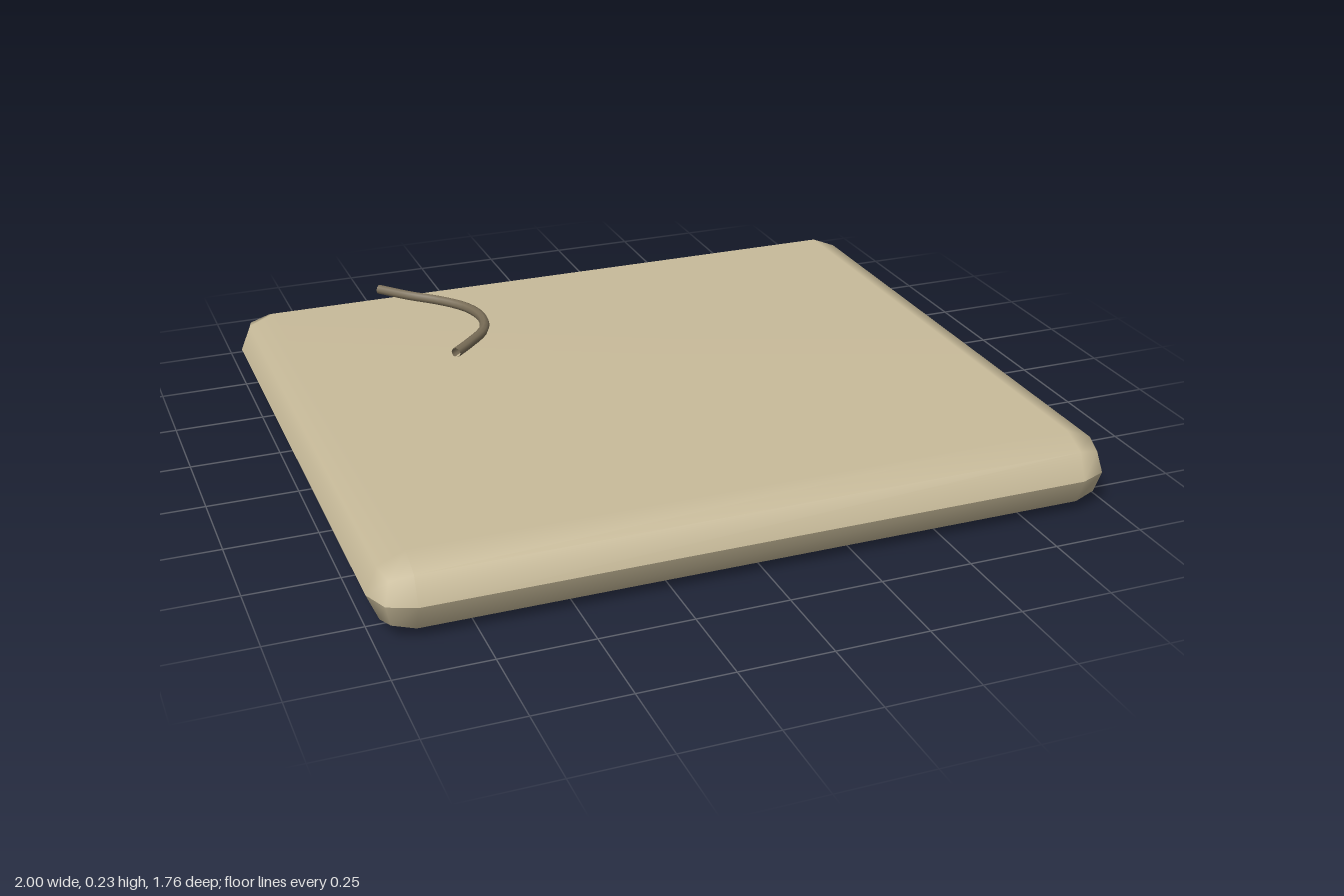
import * as THREE from 'three';
import { mergeVertices } from 'three/addons/utils/BufferGeometryUtils.js';
import { RoundedBoxGeometry } from 'three/addons/geometries/RoundedBoxGeometry.js';

const HEIGHT = 0.204;

// One half of the pillow-edged slab, smooth within itself so the rim stays a sharp seam
function halfSlab(side) {
  const box = new RoundedBoxGeometry(2, HEIGHT, 1.76, 1, HEIGHT / 2);
  const source = box.index ? box.toNonIndexed() : box;
  const p = source.attributes.position;
  const kept = [];
  for (let i = 0; i < p.count; i += 3) {
    const middle = (p.getY(i) + p.getY(i + 1) + p.getY(i + 2)) / 3;
    if (middle * side < 1e-4) continue;
    for (let k = i; k < i + 3; k++) kept.push(p.getX(k), p.getY(k), p.getZ(k));
  }
  const soup = new THREE.BufferGeometry();
  soup.setAttribute('position', new THREE.Float32BufferAttribute(kept, 3));
  const half = mergeVertices(soup, 1e-4);
  half.computeVertexNormals();
  return half.translate(0, HEIGHT / 2, 0);
}

export function createModel() {
  const group = new THREE.Group();

  // Slab: upper and lower halves meeting at the rim
  const slab = new THREE.Group();
  slab.name = 'slab';
  const slabMaterial = new THREE.MeshStandardMaterial({ color: 0xc8bb9a });
  for (const [name, side] of [['slabTop', 1], ['slabBottom', -1]]) {
    const mesh = new THREE.Mesh(halfSlab(side), slabMaterial);
    mesh.name = name;
    slab.add(mesh);
  }
  group.add(slab);

  // Curved strand lying on the top face
  const path = new THREE.CatmullRomCurve3([
    [-0.558, -0.826], [-0.487, -0.744], [-0.4, -0.66], [-0.345, -0.58],
    [-0.328, -0.49], [-0.352, -0.4], [-0.415, -0.325], [-0.473, -0.268],
  ].map(([x, z]) => new THREE.Vector3(x, 0.217, z)));
  const strand = new THREE.Mesh(
    new THREE.TubeGeometry(path, 24, 0.0145, 8, false),
    new THREE.MeshStandardMaterial({ color: 0x7a6e58, side: THREE.DoubleSide })
  );
  strand.name = 'strand';
  group.add(strand);

  return group;
}
